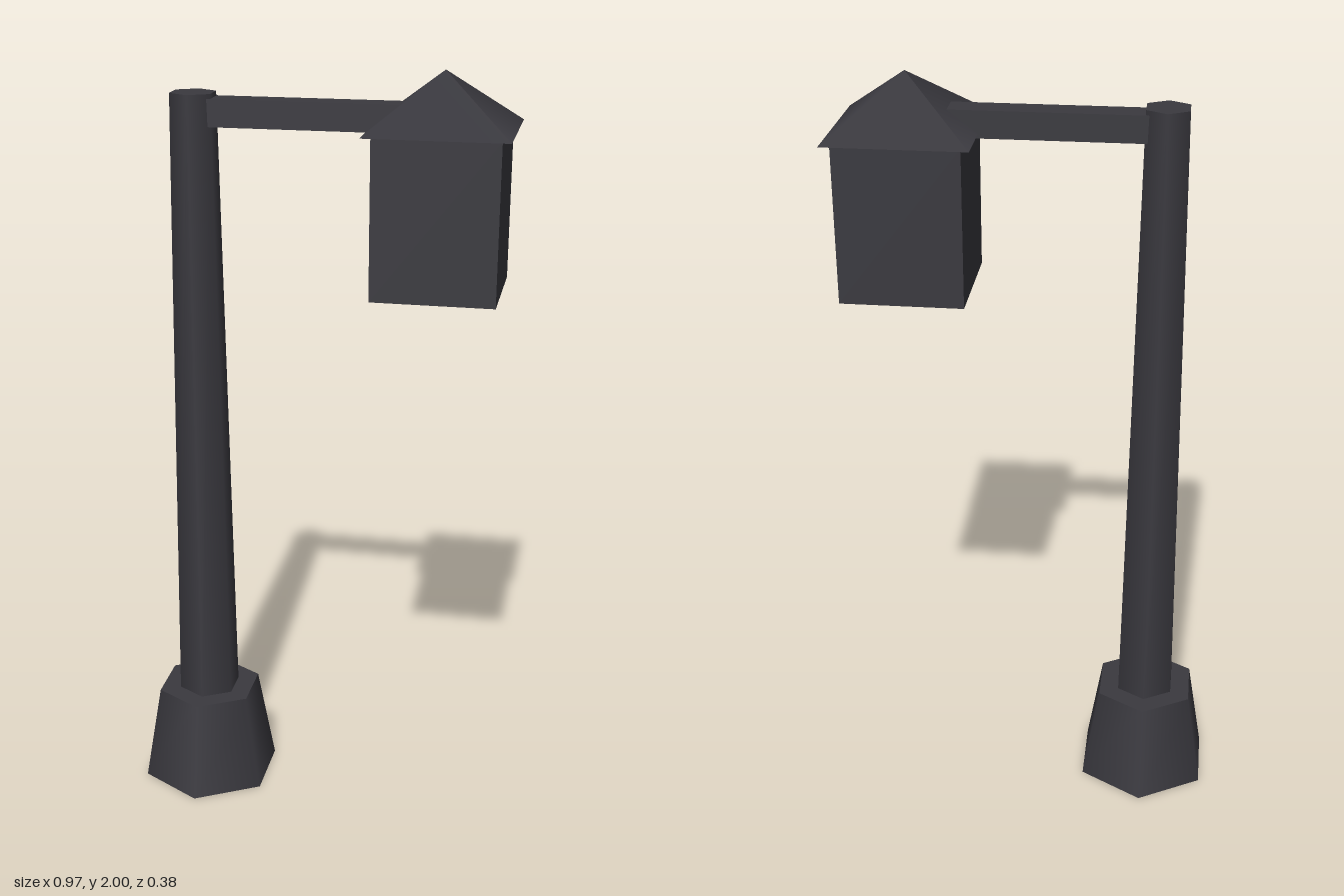
import * as THREE from 'three';

export function createModel() {
  const group = new THREE.Group();
  const iron = new THREE.MeshStandardMaterial({ color: 0x3a393f });
  iron.name = 'darkIron';

  const add = (name, geometry, x, y, z = 0) => {
    const mesh = new THREE.Mesh(geometry, iron);
    mesh.name = name;
    mesh.position.set(x, y, z);
    group.add(mesh);
    return mesh;
  };

  // Tapered hexagonal section standing between two heights
  const hexSection = (name, rTop, rBottom, y0, y1) =>
    add(name, new THREE.CylinderGeometry(rTop, rBottom, y1 - y0, 6), postX, (y0 + y1) / 2);

  const postX = -0.321;
  const lampX = 0.307;

  // Foot and post
  hexSection('base', 0.144, 0.192, 0, 0.267);
  hexSection('post', 0.06, 0.085, 0.267, 1.93);

  // Arm from the post into the lamp roof
  add('arm', new THREE.BoxGeometry(lampX - postX, 0.068, 0.07), (postX + lampX) / 2, 1.884);

  // Lamp housing
  add('lampBox', new THREE.BoxGeometry(0.31, 0.4, 0.31), lampX, 1.66);

  // Four-sided roof with its edges square to the arm
  const roof = new THREE.ConeGeometry(0.178 * Math.SQRT2, 0.14, 4);
  roof.rotateY(Math.PI / 4);
  add('lampRoof', roof, lampX, 1.93);

  return group;
}
